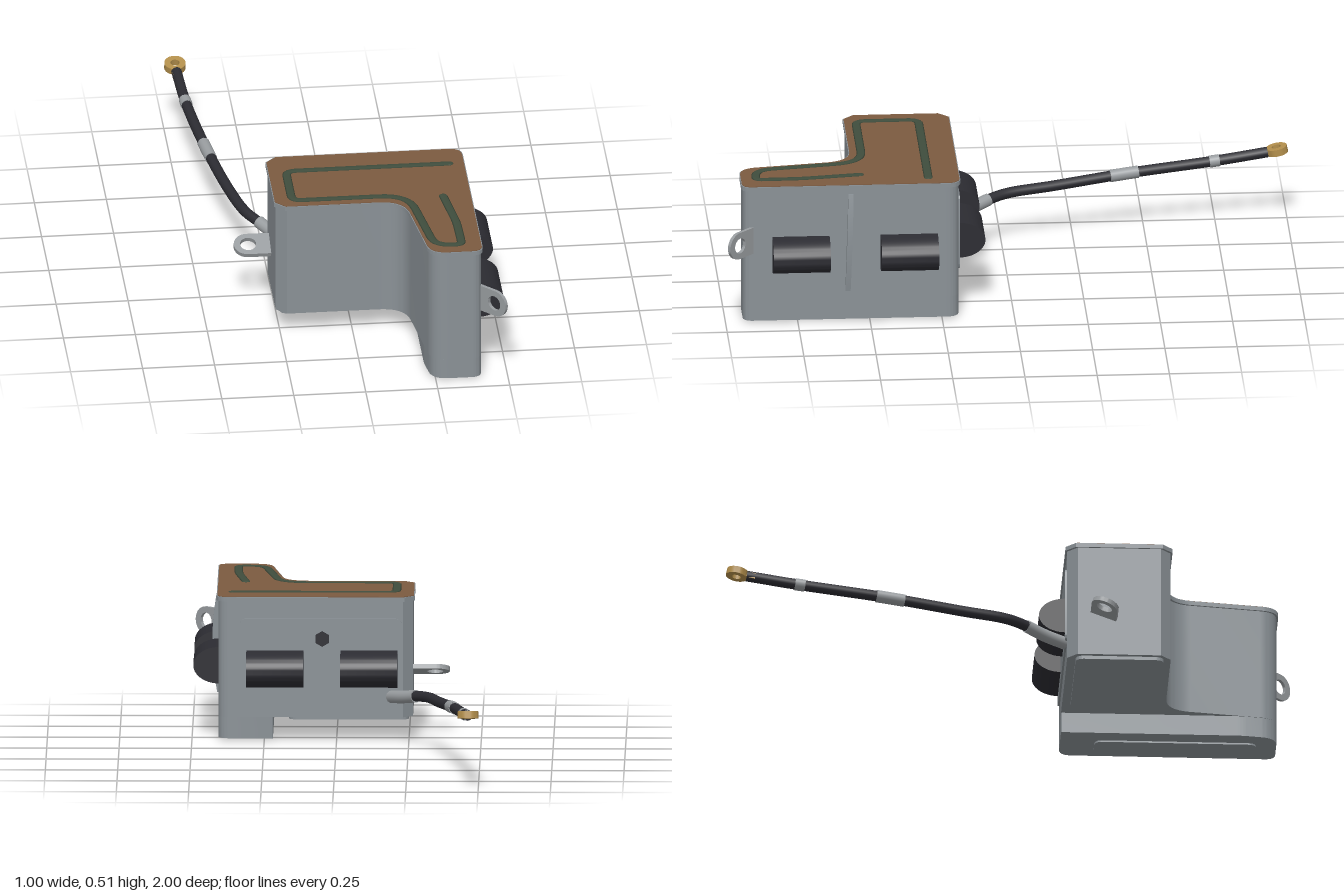
import * as THREE from 'three';
import { toCreasedNormals } from 'three/addons/utils/BufferGeometryUtils.js';

const makeMaterial = (name, color, double) => {
  const m = new THREE.MeshStandardMaterial({ color });
  m.name = name;
  if (double) m.side = THREE.DoubleSide;
  return m;
};

// Draws [x, z, radius, chamfered] corners as a path with y = -z
function cornerPath(path, pts, closed) {
  const v = pts.map(p => new THREE.Vector2(p[0], -p[1]));
  const n = v.length;
  v.forEach((p, i) => {
    if (!closed && i === 0) return path.moveTo(p.x, p.y);
    if (!closed && i === n - 1) return path.lineTo(p.x, p.y);
    const toward = q => q.clone().sub(p).setLength(pts[i][2]).add(p);
    const a = toward(v[(i + n - 1) % n]), b = toward(v[(i + 1) % n]);
    if (i === 0) path.moveTo(a.x, a.y); else path.lineTo(a.x, a.y);
    if (pts[i][3]) path.lineTo(b.x, b.y);
    else path.quadraticCurveTo(p.x, p.y, b.x, b.y);
  });
  if (closed) path.closePath();
  return path;
}

// Moves every edge of the outline inward by d
function inset(pts, d) {
  const n = pts.length;
  const normal = (a, b) => new THREE.Vector2(-(b[1] - a[1]), -(b[0] - a[0])).normalize();
  return pts.map((p, i) => {
    const n1 = normal(pts[(i + n - 1) % n], p), n2 = normal(p, pts[(i + 1) % n]);
    const k = d / (1 + n1.dot(n2));
    return [p[0] + (n1.x + n2.x) * k, p[1] - (n1.y + n2.y) * k, p[2], p[3]];
  });
}

function extrude(shape, depth) {
  const g = new THREE.ExtrudeGeometry(shape, { depth, bevelEnabled: false, curveSegments: 14 });
  return toCreasedNormals(g, 0.5);
}

// Horizontal slab between two heights
function slab(pts, y0, y1) {
  return extrude(cornerPath(new THREE.Shape(), pts, true), y1 - y0)
    .rotateX(-Math.PI / 2).translate(0, y0, 0);
}

const rectangle = (x0, z0, x1, z1, r) => [[x0, z0, r], [x1, z0, r], [x1, z1, r], [x0, z1, r]];

// Lug with a rounded end and a hole, reaching along +x, lying in the xy plane
function lugGeometry(length, r, hole, thick) {
  const s = new THREE.Shape();
  s.moveTo(-0.02, -r);
  s.lineTo(length - r, -r);
  s.absarc(length - r, 0, r, -Math.PI / 2, Math.PI / 2);
  s.lineTo(-0.02, r);
  s.closePath();
  s.holes.push(new THREE.Path().absarc(length - r - 0.003, 0, hole, 0, Math.PI * 2, true));
  return extrude(s, thick).translate(0, 0, -thick / 2);
}

export function createModel() {
  const model = new THREE.Group();
  const grey = makeMaterial('housing grey', 0x8a9196);
  const light = makeMaterial('sleeve grey', 0x989c9f);
  const brown = makeMaterial('board brown', 0x7b5a40);
  const green = makeMaterial('seal green', 0x3f4d3d);
  const black = makeMaterial('rubber black', 0x2c2c32, true);
  const gold = makeMaterial('brass', 0xb38f4c);
  const add = (name, geometry, material, x = 0, y = 0, z = 0) => {
    const m = new THREE.Mesh(geometry, material);
    m.name = name;
    m.position.set(x, y, z);
    model.add(m);
    return m;
  };

  // L-shaped housing with a deeper section along one side
  const outline = [[-0.27, 0.185, 0.035, true], [0.415, 0.185, 0.045], [0.415, 0.945, 0.035],
    [0.23, 0.945, 0.06], [0.175, 0.555, 0.09], [-0.27, 0.555, 0.035, true]];
  add('housing', slab(inset(outline, 0.006), 0.08, 0.487), grey);
  add('deepSection', slab([[0.22, 0.191, 0.004], [0.409, 0.191, 0.045], [0.409, 0.939, 0.035],
    [0.238, 0.939, 0.055], [0.22, 0.82, 0.02]], 0.006, 0.08), grey);
  add('lidRim', slab(outline, 0.485, 0.5), grey);
  add('topBoard', slab(inset(outline, 0.003), 0.5, 0.502), brown);
  add('lowerPlate', slab(rectangle(-0.25, 0.22, 0.165, 0.525, 0.03), 0.068, 0.08), grey);
  add('deepPlate', slab(rectangle(0.28, 0.31, 0.385, 0.87, 0.03), 0, 0.006), grey);

  // Raised seal on the board
  const track = cornerPath(new THREE.Path(), [[0.36, 0.295, 0], [-0.207, 0.295, 0.035],
    [-0.207, 0.512, 0.035], [0.195, 0.512, 0.1], [0.252, 0.89, 0.06], [0.345, 0.89, 0.02],
    [0.343, 0.73, 0.04], [0.316, 0.53, 0]], false);
  const trackPoints = track.getPoints(8).map(p => new THREE.Vector3(p.x, 0, -p.y))
    .filter((p, i, a) => i === 0 || p.distanceTo(a[i - 1]) > 1e-4);
  const trackCurve = new THREE.CurvePath();
  trackPoints.slice(1).forEach((p, i) => trackCurve.add(new THREE.LineCurve3(trackPoints[i], p)));
  add('seal', new THREE.TubeGeometry(trackCurve, 220, 0.015, 8), green, 0, 0.502, 0).scale.y = 0.25;
  for (const p of [trackPoints[0], trackPoints[trackPoints.length - 1]]) {
    add('sealEnd', new THREE.SphereGeometry(0.015, 12, 8), green, p.x, 0.502, p.z).scale.y = 0.25;
  }

  // Rear cover panel and its socket
  const panel = extrude(cornerPath(new THREE.Shape(),
    rectangle(-0.225, -0.425, 0.335, -0.15, 0.025), true), 0.012);
  add('rearPanel', panel, grey, 0, 0, 0.184);
  add('rearSocket', new THREE.CylinderGeometry(0.027, 0.027, 0.008, 6).rotateX(Math.PI / 2),
    black, 0.05, 0.355, 0.182);

  // Half-round rubber pads on the rear and the left side
  const padGeometry = length => {
    const s = new THREE.Shape();
    s.absellipse(0, 0, 0.09, 0.064, -Math.PI / 2, Math.PI / 2);
    s.closePath();
    return extrude(s, length);
  };
  for (const z of [0.265, 0.64]) add('sidePad', padGeometry(0.198), black, 0.406, 0.25, z);
  for (const x of [-0.21, 0.115]) {
    add('rearPad', padGeometry(0.197).rotateY(Math.PI / 2), black, x, 0.25, 0.184);
  }

  // Bowed blade on the left side
  const blade = new THREE.Shape();
  blade.moveTo(-0.004, -0.178);
  blade.lineTo(0.008, -0.178);
  blade.quadraticCurveTo(0.042, 0, 0.008, 0.178);
  blade.lineTo(-0.004, 0.178);
  blade.closePath();
  add('sideBlade', extrude(blade, 0.018), grey, 0.408, 0.288, 0.562).rotation.x = -0.03;

  // Mounting lugs
  const sideLug = add('sideLug', lugGeometry(0.125, 0.047, 0.028, 0.016)
    .rotateX(-Math.PI / 2).rotateY(Math.PI), light, -0.265, 0.23, 0.317);
  sideLug.rotation.x = 0.36;
  add('cornerLug', lugGeometry(0.122, 0.048, 0.027, 0.012), light, 0.404, 0.302, 0.906)
    .rotation.y = -Math.PI / 4;

  // Cable with sleeves
  const cable = new THREE.CatmullRomCurve3([[-0.19, 0.153, 0.185], [-0.225, 0.162, 0.12],
    [-0.27, 0.175, 0.055], [-0.315, 0.183, -0.02], [-0.358, 0.19, -0.18], [-0.41, 0.212, -0.45],
    [-0.45, 0.235, -0.75], [-0.463, 0.258, -0.93]].map(p => new THREE.Vector3(...p)));
  add('cable', new THREE.TubeGeometry(cable, 80, 0.0185, 12), black);
  const sleeve = (name, t0, t1, r, material) => {
    const a = cable.getPointAt(t0), b = cable.getPointAt(t1);
    const line = new THREE.CatmullRomCurve3([a, cable.getPointAt((t0 + t1) / 2), b]);
    add(name, new THREE.TubeGeometry(line, 8, r, 14), material);
    [[a, b], [b, a]].forEach(([p, q]) => {
      const cap = add(name + 'End', new THREE.CircleGeometry(r, 14), material, p.x, p.y, p.z);
      cap.lookAt(p.clone().multiplyScalar(2).sub(q));
    });
  };
  sleeve('baseSleeve', 0, 0.14, 0.022, light);
  sleeve('middleSleeve', 0.525, 0.61, 0.0215, light);
  sleeve('smallSleeve', 0.825, 0.855, 0.021, light);

  // Brass ring terminal
  const terminal = new THREE.Group();
  terminal.name = 'ringTerminal';
  terminal.position.set(-0.465, 0.265, -0.963);
  terminal.rotation.x = 0.2;
  const ring = new THREE.Shape().absarc(0, 0, 0.037, 0, Math.PI * 2);
  ring.holes.push(new THREE.Path().absarc(0, 0, 0.016, 0, Math.PI * 2, true));
  const ringMesh = new THREE.Mesh(extrude(ring, 0.024).rotateX(-Math.PI / 2).translate(0, -0.012, 0), gold);
  ringMesh.name = 'ring';
  const neck = new THREE.Mesh(new THREE.BoxGeometry(0.026, 0.02, 0.04), gold);
  neck.name = 'neck';
  neck.position.z = 0.045;
  terminal.add(ringMesh, neck);
  model.add(terminal);

  return model;
}
